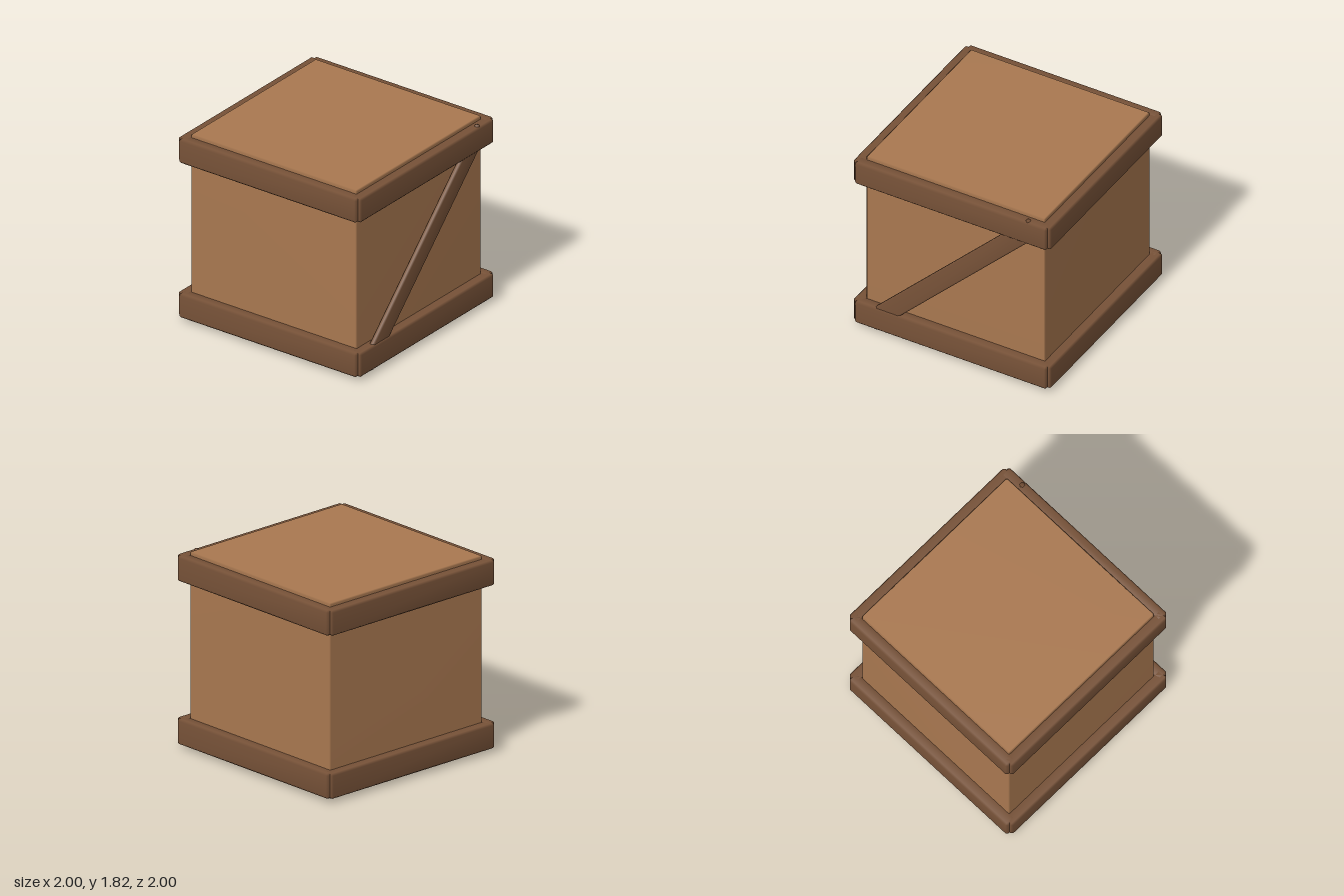
import * as THREE from 'three';
import { mergeVertices } from 'three/addons/utils/BufferGeometryUtils.js';
import { ConvexGeometry } from 'three/addons/geometries/ConvexGeometry.js';

// Box with chamfered edges and smoothed normals
function bevelBox(w, h, d, b) {
  const points = [];
  for (const sx of [-1, 1]) for (const sy of [-1, 1]) for (const sz of [-1, 1]) {
    for (const axis of [0, 1, 2]) {
      const p = [w / 2, h / 2, d / 2].map((v, i) => (i === axis ? v : v - b));
      points.push(new THREE.Vector3(p[0] * sx, p[1] * sy, p[2] * sz));
    }
  }
  let geometry = new ConvexGeometry(points);
  geometry.deleteAttribute('normal');
  geometry = mergeVertices(geometry, 1e-4);
  geometry.computeVertexNormals();
  return geometry;
}

export function createModel() {
  const lightWood = new THREE.MeshStandardMaterial({ name: 'lightWood', color: 0xa97850 });
  const darkWood = new THREE.MeshStandardMaterial({ name: 'darkWood', color: 0x775238 });
  const model = new THREE.Group();
  model.name = 'crate';
  const midY = 0.91;

  const add = (name, geometry, material, x, y, z, parent = model) => {
    const mesh = new THREE.Mesh(geometry, material);
    mesh.name = name;
    mesh.position.set(x, y, z);
    parent.add(mesh);
    return mesh;
  };

  // Main box
  add('crateBody', bevelBox(1.81, 1.815, 1.81, 0.012), lightWood, 0, 0.9075, 0);

  // Four boards round the bottom and four round the top
  const board = bevelBox(1.94, 0.235, 0.11, 0.018);
  for (const [level, y] of [['lower', midY - 0.757], ['upper', midY + 0.757]]) {
    const band = new THREE.Group();
    band.name = level + 'Band';
    model.add(band);
    ['front', 'left', 'back', 'right'].forEach((side, i) => {
      const a = i * Math.PI / 2;
      const mesh = add(level + side[0].toUpperCase() + side.slice(1) + 'Board', board, darkWood,
        Math.sin(a) * 0.945, y, Math.cos(a) * 0.945, band);
      mesh.rotation.y = a;
    });
  }

  // Diagonal brace across the front, tucked into both bands
  const brace = add('diagonalBrace', bevelBox(2.355, 0.178, 0.052, 0.014), darkWood, 0, midY, 0.96);
  brace.rotation.z = Math.PI / 4;

  return model;
}
